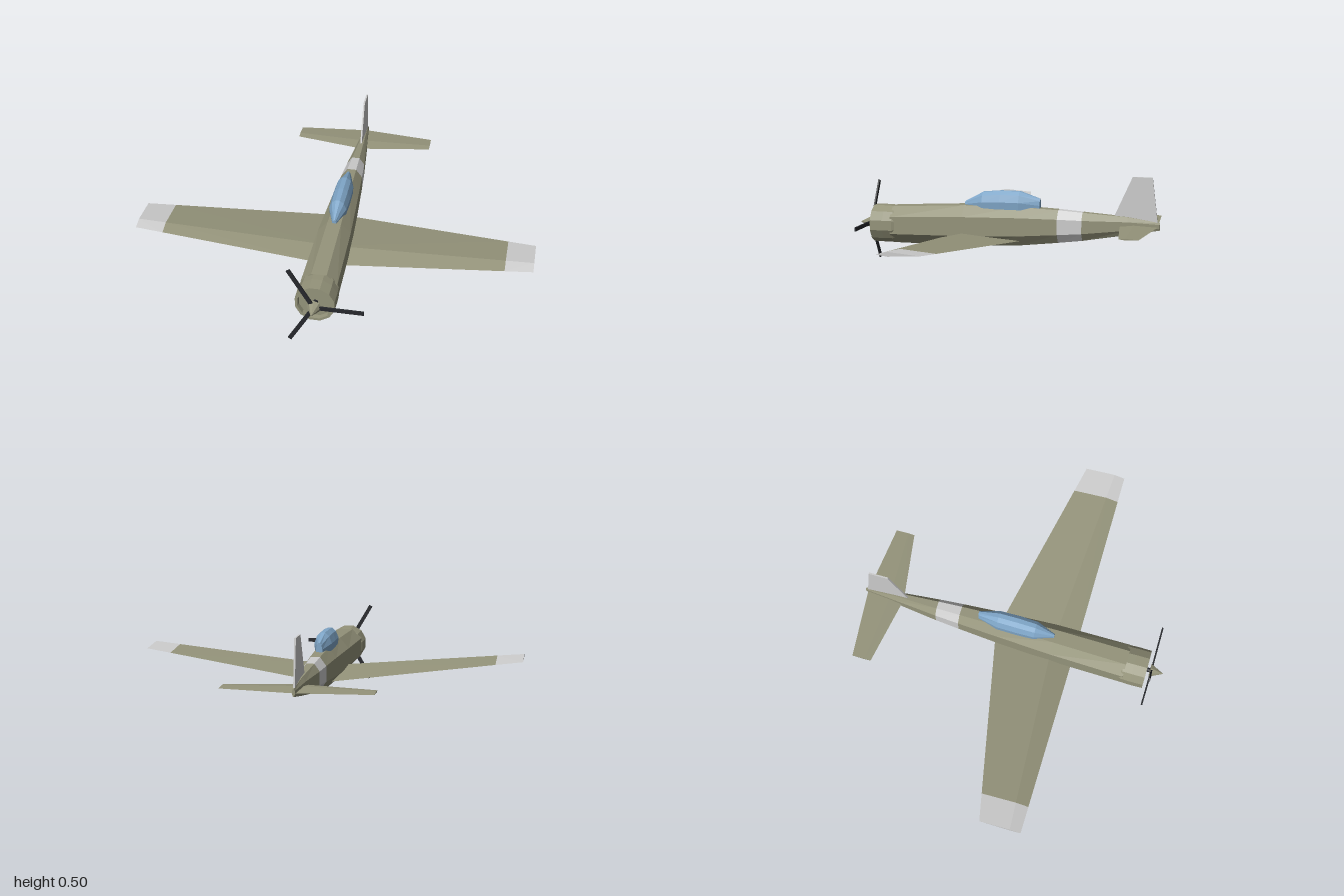
import * as THREE from 'three';

const paint = (color, extra = {}) => new THREE.MeshStandardMaterial({ color, flatShading: true, ...extra });
const OLIVE = paint(0x94937a, { side: THREE.DoubleSide });
const GREY = paint(0xcccccc);
const GLASS = paint(0x7fa6c8);
const BLACK = paint(0x26282c);
const AXIS_Y = 0.216; // height of the engine axis

// Closed skin over a list of equal-length rings of [x, y, z]
function loft(rings) {
  const pos = [];
  const tri = (a, b, c) => pos.push(...a, ...b, ...c);
  const n = rings[0].length;
  for (let r = 0; r < rings.length - 1; r++) {
    for (let i = 0; i < n; i++) {
      const j = (i + 1) % n, A = rings[r], B = rings[r + 1];
      tri(A[i], B[i], B[j]);
      tri(A[i], B[j], A[j]);
    }
  }
  const first = rings[0], last = rings[rings.length - 1];
  for (let i = 1; i < n - 1; i++) {
    tri(first[0], first[i], first[i + 1]);
    tri(last[0], last[i + 1], last[i]);
  }
  // Turn the faces outward if the enclosed volume is negative
  let volume = 0;
  const v = (k) => new THREE.Vector3(pos[k], pos[k + 1], pos[k + 2]);
  for (let k = 0; k < pos.length; k += 9) volume += v(k).dot(v(k + 3).cross(v(k + 6)));
  if (volume < 0) {
    for (let k = 0; k < pos.length; k += 9) {
      for (let c = 0; c < 3; c++) [pos[k + 3 + c], pos[k + 6 + c]] = [pos[k + 6 + c], pos[k + 3 + c]];
    }
  }
  const geo = new THREE.BufferGeometry();
  geo.setAttribute('position', new THREE.Float32BufferAttribute(pos, 3));
  geo.computeVertexNormals();
  return geo;
}

// Fuselage stations: z, half width, bottom y, top y
const STATIONS = [
  [0.6, 0.089, 0.121, 0.311], [0.21, 0.083, 0.122, 0.333], [-0.08, 0.068, 0.135, 0.335],
  [-0.285, 0.055, 0.158, 0.326], [-0.41, 0.046, 0.174, 0.318], [-0.64, 0.024, 0.213, 0.304],
  [-0.8, 0.006, 0.242, 0.281],
];

// Eight-sided fuselage section
function bodyRing([z, w, low, high]) {
  const h = high - low, t = w * 0.42;
  const a = low + h * 0.27, b = low + h * 0.74;
  return [[t, low, z], [w, a, z], [w, b, z], [t, high, z], [-t, high, z], [-w, b, z], [-w, a, z], [-t, low, z]];
}

// Canopy section: upright sill and faceted roof
function canopyRing([z, w, low, high]) {
  const h = high - low;
  return [[w * 0.95, low, z], [w, low + h * 0.4, z], [w * 0.7, low + h * 0.8, z], [w * 0.25, high, z],
    [-w * 0.25, high, z], [-w * 0.7, low + h * 0.8, z], [-w, low + h * 0.4, z], [-w * 0.95, low, z]];
}

// Diamond aerofoil, blended between a root and a tip section
function foil(root, tip, t, side) {
  const m = (k) => THREE.MathUtils.lerp(root[k], tip[k], t);
  const x = side * m('x');
  return [[x, m('y'), m('lead')], [x, m('y') + m('up'), m('ridge')],
    [x, m('yTrail'), m('trail')], [x, m('y') - m('down'), m('ridge')]];
}

const WING = [
  { x: 0, y: 0.158, yTrail: 0.157, lead: 0.325, ridge: 0.205, trail: -0.1, up: 0.028, down: 0.024 },
  { x: 1, y: 0.255, yTrail: 0.257, lead: 0.325, ridge: 0.27, trail: 0.115, up: 0.014, down: 0.008 },
];
const TAIL = [
  { x: 0, y: 0.257, yTrail: 0.257, lead: -0.597, ridge: -0.67, trail: -0.79, up: 0.008, down: 0.008 },
  { x: 0.365, y: 0.257, yTrail: 0.257, lead: -0.657, ridge: -0.69, trail: -0.755, up: 0.004, down: 0.004 },
];

export function createModel() {
  const model = new THREE.Group();
  model.name = 'airplane';
  const add = (name, geo, mat, parent = model) => {
    const mesh = new THREE.Mesh(geo, mat);
    mesh.name = name;
    parent.add(mesh);
    return mesh;
  };

  // Fuselage with a pale band ahead of the tail
  add('frontFuselage', loft(STATIONS.slice(0, 4).map(bodyRing)), OLIVE);
  add('fuselageBand', loft(STATIONS.slice(3, 5).map(bodyRing)), GREY);
  add('rearFuselage', loft(STATIONS.slice(4).map(bodyRing)), OLIVE);

  // Engine cowling with a shallow recessed front
  const cowlProfile = [[0.086, 0.565], [0.098, 0.59], [0.1, 0.64], [0.099, 0.708], [0.086, 0.708], [0.084, 0.685], [0, 0.685]]
    .map(([r, z]) => new THREE.Vector2(r, z));
  const cowl = add('engineCowling', new THREE.LatheGeometry(cowlProfile, 12, Math.PI / 12).rotateX(Math.PI / 2), OLIVE);
  cowl.position.y = AXIS_Y;

  // Canopy
  add('canopy', loft([
    [0.213, 0.01, 0.325, 0.35], [0.115, 0.044, 0.32, 0.403], [0.02, 0.047, 0.32, 0.412],
    [-0.08, 0.045, 0.32, 0.412], [-0.186, 0.016, 0.32, 0.378],
  ].map(canopyRing)), GLASS);

  // Wings with pale tips, and tailplanes
  for (const [label, side] of [['left', 1], ['right', -1]]) {
    const span = ([root, tip], a, b) => loft([foil(root, tip, a, side), foil(root, tip, b, side)]);
    add(label + 'Wing', span(WING, 0, 0.862), OLIVE);
    add(label + 'WingTip', span(WING, 0.862, 1), GREY);
    add(label + 'Tailplane', span(TAIL, 0, 1), OLIVE);
  }

  // Upright tail fin
  const finOutline = [[-0.565, 0.295], [-0.66, 0.507], [-0.76, 0.507], [-0.79, 0.27]];
  add('tailFin', loft([0.004, -0.004].map((x) => finOutline.map(([z, y]) => [x, y, z]))), GREY);

  // Propeller: spinner and three blades
  const propeller = new THREE.Group();
  propeller.name = 'propeller';
  propeller.position.set(0, AXIS_Y, 0.732);
  model.add(propeller);
  const spinner = add('spinner', new THREE.ConeGeometry(0.036, 0.07, 8).rotateX(Math.PI / 2), OLIVE, propeller);
  spinner.position.z = 0.028;
  const shaft = add('propellerShaft', new THREE.CylinderGeometry(0.012, 0.012, 0.05, 8).rotateX(Math.PI / 2), BLACK, propeller);
  shaft.position.z = -0.025;
  for (let i = 0; i < 3; i++) {
    const blade = add('propellerBlade', new THREE.BoxGeometry(0.24, 0.02, 0.008).translate(0.12, 0, 0), BLACK, propeller);
    blade.rotation.z = (i * Math.PI * 2) / 3;
  }

  return model;
}
